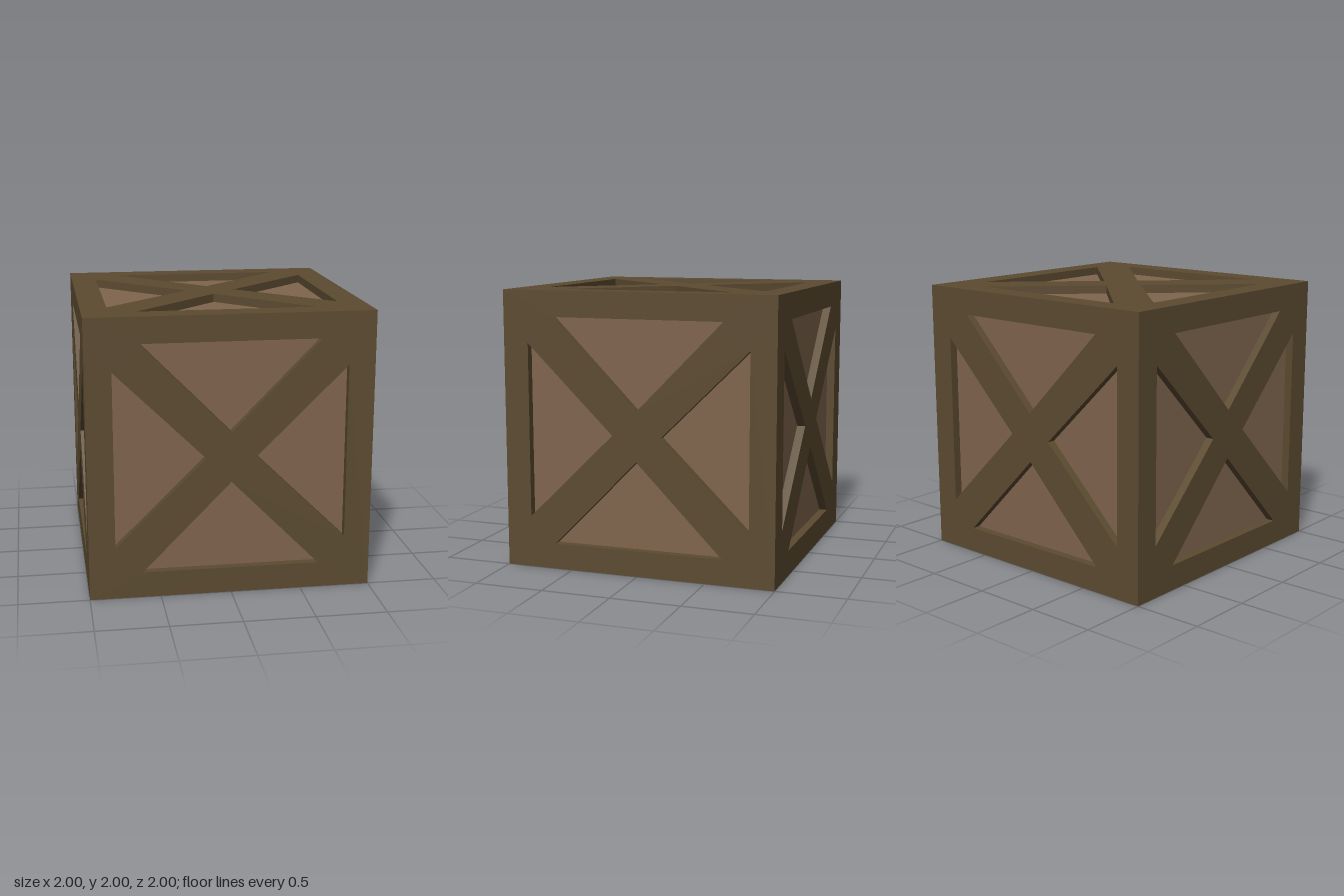
import * as THREE from 'three';

const DEPTH = 0.06; // how far the panels sit behind the frame

// One square face frame with a diagonal cross: a square with four triangular openings
function frameGeometry() {
  const shape = new THREE.Shape([[-1, -1], [1, -1], [1, 1], [-1, 1]].map(([x, y]) => new THREE.Vector2(x, y)));
  const apex = 0.178, base = 0.815, half = 0.626;
  for (let i = 0; i < 4; i++) {
    const corners = [[0, apex], [-half, base], [half, base]].map(([x, y]) =>
      new THREE.Vector2(x, y).rotateAround(new THREE.Vector2(), i * Math.PI / 2));
    shape.holes.push(new THREE.Path(corners));
  }
  const geo = new THREE.ExtrudeGeometry(shape, { depth: DEPTH, bevelEnabled: false });
  geo.translate(0, 0, 1 - DEPTH);

  // Mitre the outer edges so that the six frames meet cleanly along the cube edges
  const pos = geo.attributes.position;
  for (let i = 0; i < pos.count; i++) {
    if (pos.getZ(i) > 1 - DEPTH / 2) continue;
    if (Math.abs(pos.getX(i)) > 0.99) {
      pos.setX(i, Math.sign(pos.getX(i)) * (1 - DEPTH));
      pos.setY(i, Math.sign(pos.getY(i)) * (1 - DEPTH));
    }
  }
  geo.computeVertexNormals();
  return geo;
}

export function createModel() {
  const crate = new THREE.Group();
  crate.name = 'crate';
  const frameMat = new THREE.MeshStandardMaterial({ color: 0x5c4b31, flatShading: true });
  const panelMat = new THREE.MeshStandardMaterial({ color: 0x80654e, flatShading: true });

  // Recessed panels: the inner box
  const inner = 2 * (1 - DEPTH);
  const panels = new THREE.Mesh(new THREE.BoxGeometry(inner, inner, inner), panelMat);
  panels.name = 'panels';
  panels.position.y = 1;
  crate.add(panels);

  // Cross-braced frame on each of the six sides
  const geo = frameGeometry();
  const q = Math.PI / 2;
  const sides = {
    front: [0, 0], left: [0, q], back: [0, 2 * q], right: [0, -q], top: [-q, 0], bottom: [q, 0],
  };
  for (const [side, [rx, ry]] of Object.entries(sides)) {
    const frame = new THREE.Mesh(geo, frameMat);
    frame.name = side + 'Frame';
    frame.rotation.set(rx, ry, 0);
    frame.position.y = 1;
    crate.add(frame);
  }
  return crate;
}
